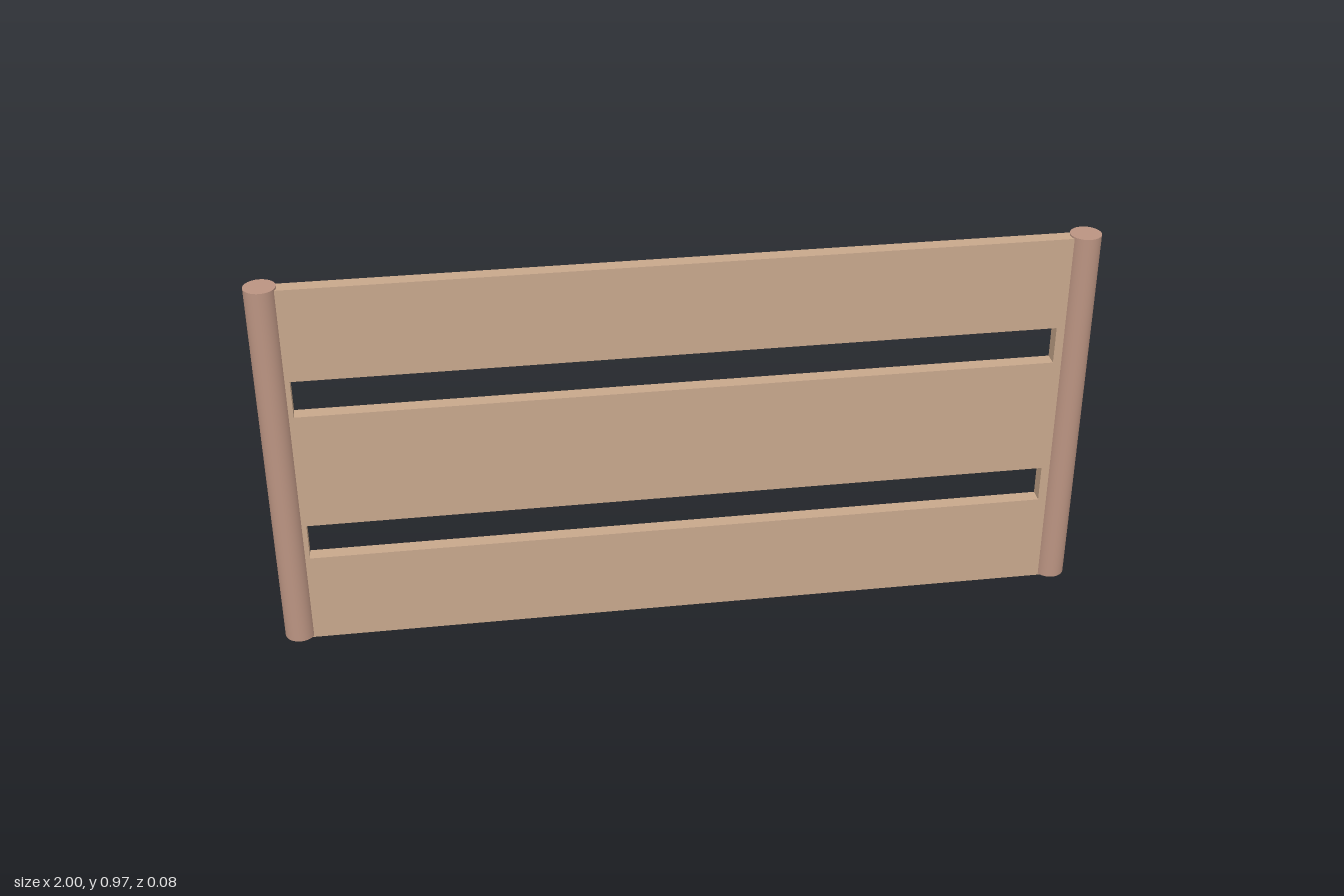
import * as THREE from 'three';

const rect = (Type, x0, y0, x1, y1) => new Type([
  new THREE.Vector2(x0, y0), new THREE.Vector2(x1, y0),
  new THREE.Vector2(x1, y1), new THREE.Vector2(x0, y1),
]);

export function createModel() {
  const model = new THREE.Group();
  model.name = 'slattedPanel';
  const panelMaterial = new THREE.MeshStandardMaterial({ color: 0xc8a88c });
  const postMaterial = new THREE.MeshStandardMaterial({ color: 0xbb9482 });

  // Flat board with two long slots, leaving three slats
  const thickness = 0.036;
  const outline = rect(THREE.Shape, -0.96, 0, 0.96, 0.963);
  for (const [bottom, top] of [[0.235, 0.329], [0.632, 0.727]]) {
    outline.holes.push(rect(THREE.Path, -0.918, bottom, 0.909, top));
  }
  const boardGeometry = new THREE.ExtrudeGeometry(outline, { depth: thickness, bevelEnabled: false });
  boardGeometry.translate(0, 0, -thickness / 2);
  const board = new THREE.Mesh(boardGeometry, panelMaterial);
  board.name = 'slattedBoard';
  model.add(board);

  // Round posts at both ends
  const radius = 0.0375;
  const postGeometry = new THREE.CylinderGeometry(radius, radius, 0.963, 48);
  for (const [name, side] of [['leftPost', 1], ['rightPost', -1]]) {
    const post = new THREE.Mesh(postGeometry, postMaterial);
    post.name = name;
    post.position.set(side * (1 - radius), 0.4855, 0);
    model.add(post);
  }
  return model;
}
